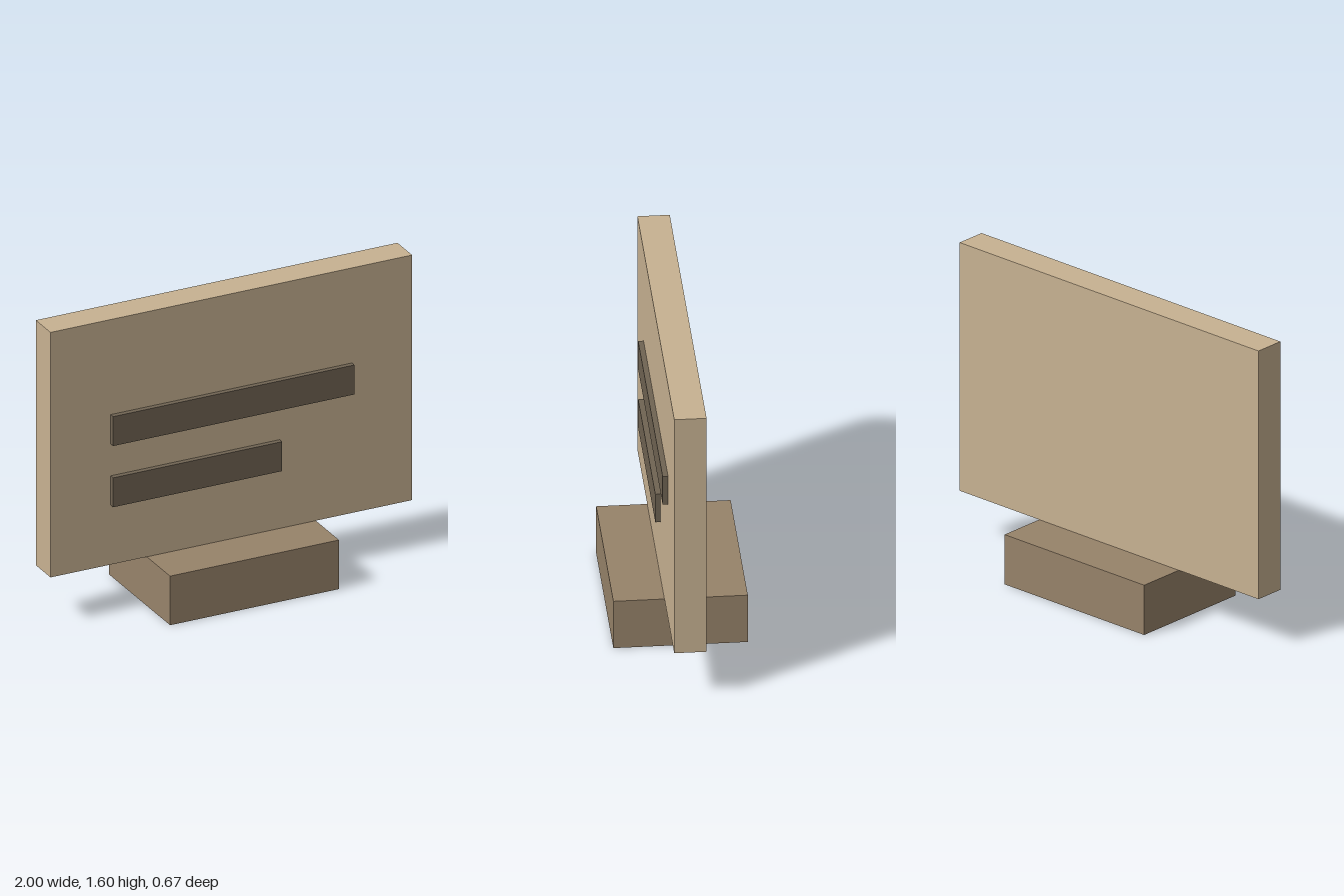
import * as THREE from 'three';

const boardMaterial = new THREE.MeshStandardMaterial({ name: 'light tan', color: 0xc8b292 });
const baseMaterial = new THREE.MeshStandardMaterial({ name: 'brown', color: 0x97836a });
const barMaterial = new THREE.MeshStandardMaterial({ name: 'dark brown', color: 0x706453 });

// Box given by its lower and upper bounds on each axis
function block(name, material, [x0, x1], [y0, y1], [z0, z1]) {
  const mesh = new THREE.Mesh(new THREE.BoxGeometry(x1 - x0, y1 - y0, z1 - z0), material);
  mesh.position.set((x0 + x1) / 2, (y0 + y1) / 2, (z0 + z1) / 2);
  mesh.name = name;
  return mesh;
}

export function createModel() {
  const model = new THREE.Group();
  model.name = 'signBoard';

  // Foot and upright panel
  model.add(block('base', baseMaterial, [-0.467, 0.467], [0, 0.267], [-0.333, 0.333]));
  model.add(block('board', boardMaterial, [-1, 1], [0.267, 1.6], [-0.08, 0.08]));

  // Raised bars on the front, aligned at one end
  model.add(block('upperBar', barMaterial, [-0.667, 0.667], [0.923, 1.083], [0.08, 0.107]));
  model.add(block('lowerBar', barMaterial, [-0.667, 0.267], [0.59, 0.75], [0.08, 0.107]));

  return model;
}
